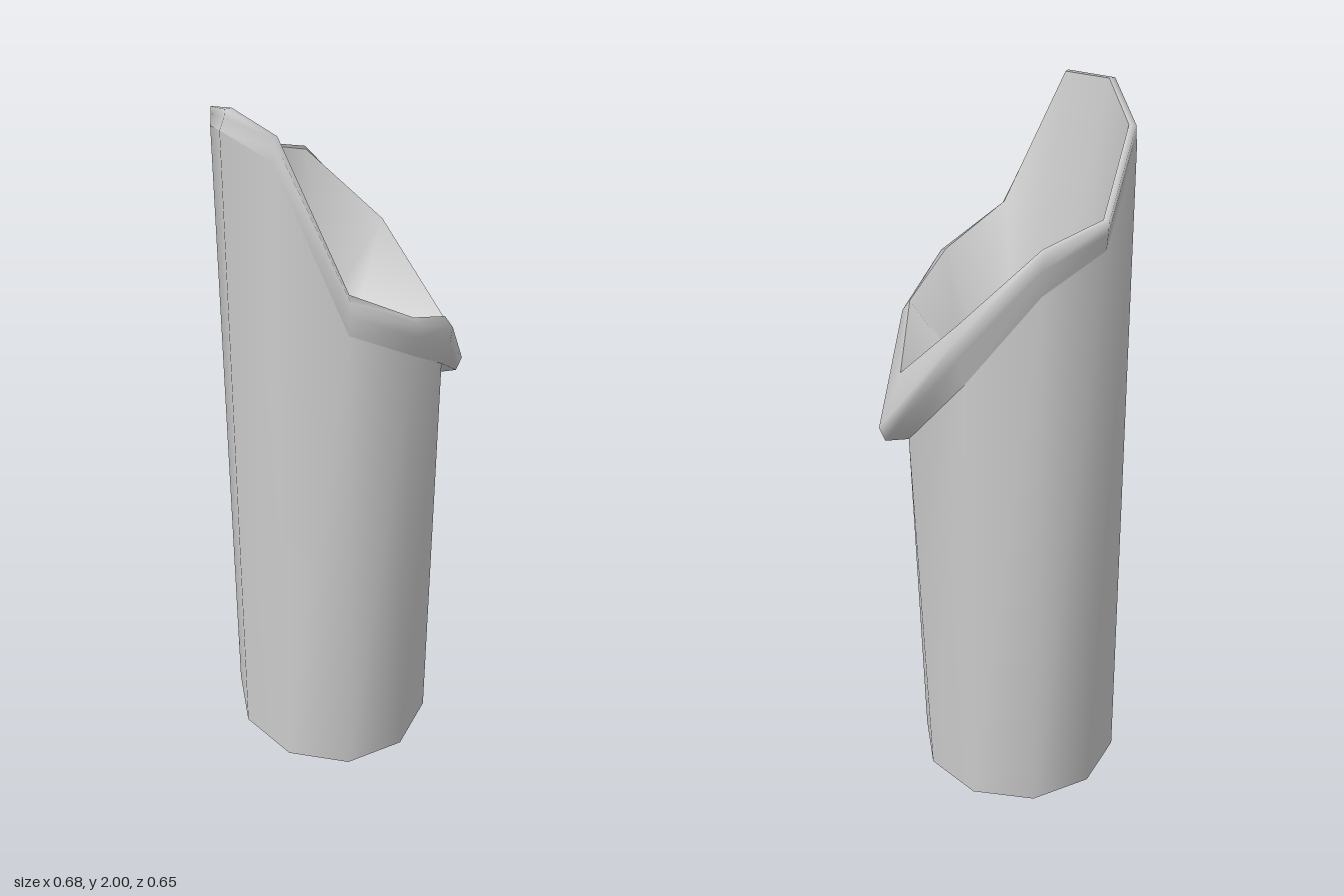
import * as THREE from 'three';

const SIDES = 10;
const CX = -0.06;
const wax = new THREE.MeshStandardMaterial({ color: 0xcccccc, side: THREE.DoubleSide });

// Melted rim corner by corner: x, y, z of the outer edge
const RIM = [
  [-0.317, 2.0, 0.05], [-0.31, 1.93, -0.135], [-0.19, 1.75, -0.3], [-0.02, 1.7, -0.328], [0.185, 1.46, -0.255],
  [0.34, 1.14, -0.04], [0.225, 1.38, 0.165], [0.085, 1.49, 0.295], [-0.1, 1.6, 0.325], [-0.245, 1.985, 0.212],
];
// How far the inner edge stands above the outer edge, and how deep the folded lip hangs
const RISE = [0, 0, 0, 0, 0.04, 0.15, 0.03, 0.01, 0.01, 0];
const DROP = [0.05, 0.05, 0.08, 0.12, 0.13, 0.04, 0.12, 0.1, 0.1, 0.05];

// Ring of corners on the slightly oval ten-sided body
function ring(scale, height) {
  return RIM.map((p, i) => {
    const a = THREE.MathUtils.degToRad(170 + 36 * i);
    const x = CX + 0.285 * scale * Math.cos(a);
    return new THREE.Vector3(x, height(x, i), 0.305 * scale * Math.sin(a));
  });
}

// Smooth skin through closed rings of equal count
function loft(name, rings) {
  const index = [];
  for (let r = 0; r < rings.length - 1; r++) {
    for (let i = 0; i < SIDES; i++) {
      const a = r * SIDES + i, b = r * SIDES + (i + 1) % SIDES;
      index.push(a, a + SIDES, b, b, a + SIDES, b + SIDES);
    }
  }
  const geometry = new THREE.BufferGeometry().setFromPoints(rings.flat());
  geometry.setIndex(index);
  geometry.computeVertexNormals();
  const mesh = new THREE.Mesh(geometry, wax);
  mesh.name = name;
  return mesh;
}

export function createModel() {
  const group = new THREE.Group();
  group.name = 'candle';

  const base = ring(1, x => 0.02 * (0.22 - x) / 0.56);
  const rim = RIM.map(p => new THREE.Vector3(...p));

  // Body leans from the base towards the rim, ending just under the lip
  const neck = base.map((p, i) => {
    const q = p.clone().lerp(rim[i], 0.35);
    q.y = rim[i].y - DROP[i];
    return q;
  });
  // Underside of the folded lip
  const underLip = rim.map((p, i) => new THREE.Vector3(
    THREE.MathUtils.lerp(neck[i].x, p.x, 0.8), p.y - DROP[i] * (i === 5 ? 1 : 0.4),
    THREE.MathUtils.lerp(neck[i].z, p.z, 0.8)));
  // Inner edge of the rim
  const inner = rim.map((p, i) => {
    const s = i === 5 ? 0.84 : 0.935;
    return new THREE.Vector3(CX + (p.x - CX) * s, p.y + RISE[i], p.z * s);
  });
  const floor = ring(0.55, () => 1.25);

  group.add(loft('outerWall', [base, neck]));
  group.add(loft('meltedLip', [neck, underLip, rim, inner]));
  group.add(loft('innerWall', [inner, floor]));

  // Wax floor
  const shape = new THREE.Shape(floor.map(p => new THREE.Vector2(p.x, -p.z)));
  const pool = new THREE.Mesh(new THREE.ShapeGeometry(shape).rotateX(-Math.PI / 2), wax);
  pool.position.y = 1.25;
  pool.name = 'waxFloor';
  group.add(pool);

  // Bent wick
  const path = new THREE.CatmullRomCurve3([
    new THREE.Vector3(-0.066, 1.24, -0.005), new THREE.Vector3(-0.063, 1.34, -0.012),
    new THREE.Vector3(-0.058, 1.44, -0.024), new THREE.Vector3(-0.055, 1.53, -0.02),
  ]);
  const wick = new THREE.Group();
  wick.name = 'wick';
  wick.add(new THREE.Mesh(new THREE.TubeGeometry(path, 8, 0.008, 6), wax));
  const tip = new THREE.Mesh(new THREE.SphereGeometry(0.008, 6, 4), wax);
  tip.position.copy(path.getPoint(1));
  wick.add(tip);
  group.add(wick);

  return group;
}
